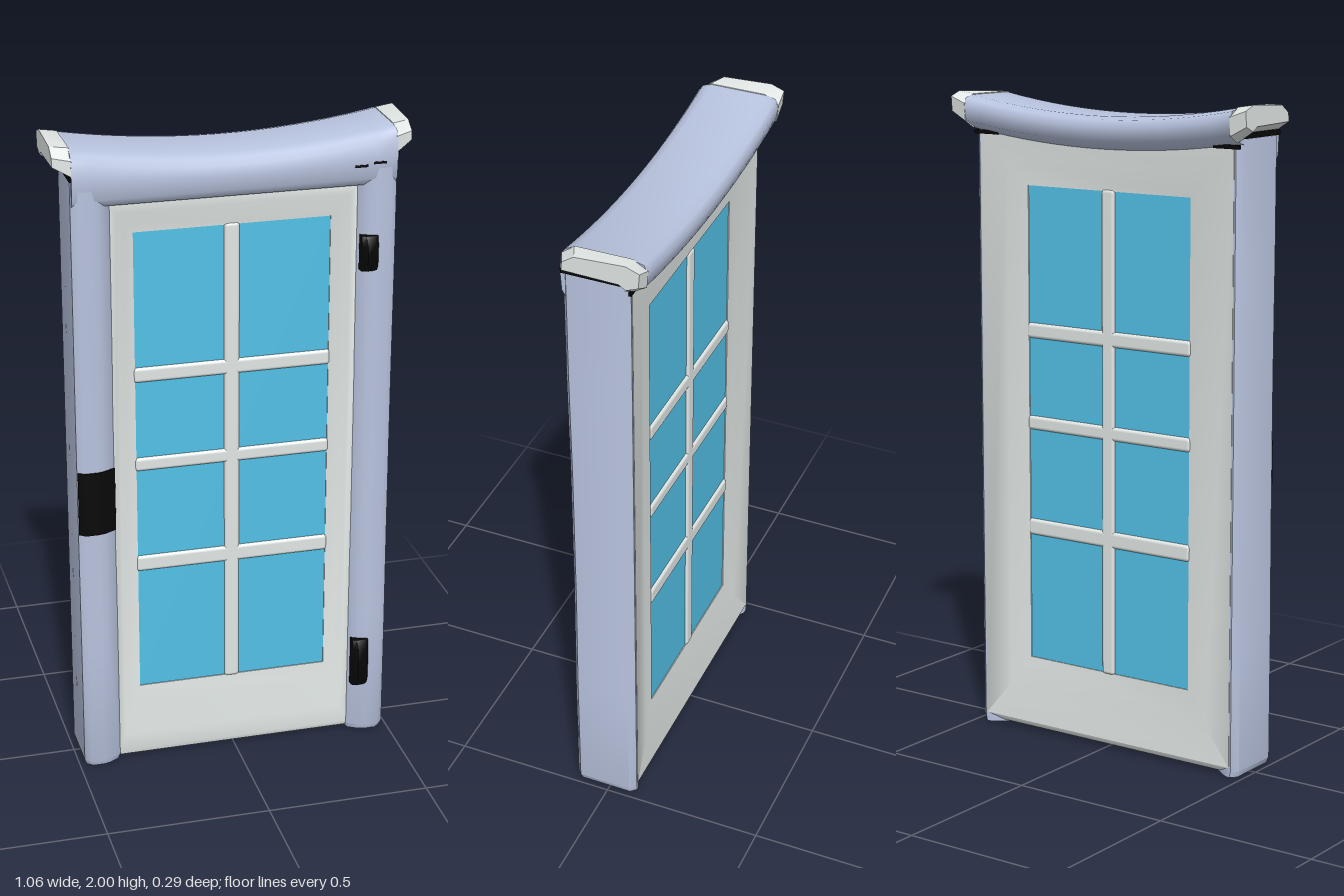
import * as THREE from 'three';
import { RoundedBoxGeometry } from 'three/addons/geometries/RoundedBoxGeometry.js';
import { toCreasedNormals } from 'three/addons/utils/BufferGeometryUtils.js';

const material = (name, color) => {
  const m = new THREE.MeshStandardMaterial({ color });
  m.name = name;
  return m;
};

// Skin a list of equal-length rings of [x, y, z]; faces are turned outward by signed volume.
function loft(rings, caps = true, crease = 0.75) {
  const n = rings[0].length, pos = rings.flat(2), idx = [];
  for (let r = 0; r < rings.length - 1; r++)
    for (let i = 0; i < n; i++) {
      const a = r * n + i, b = r * n + (i + 1) % n;
      idx.push(a, b, b + n, a, b + n, a + n);
    }
  if (caps) [0, rings.length - 1].forEach((r) => {
    const centre = pos.length / 3;
    pos.push(...[0, 1, 2].map((j) => rings[r].reduce((s, p) => s + p[j] / n, 0)));
    for (let i = 0; i < n; i++) {
      const a = r * n + i, b = r * n + (i + 1) % n;
      idx.push(centre, ...(r === 0 ? [b, a] : [a, b]));
    }
  });
  const v = (i) => new THREE.Vector3().fromArray(pos, i * 3);
  let volume = 0;
  for (let i = 0; i < idx.length; i += 3) volume += v(idx[i]).dot(v(idx[i + 1]).cross(v(idx[i + 2])));
  if (volume < 0) idx.reverse();
  const g = new THREE.BufferGeometry();
  g.setAttribute('position', new THREE.Float32BufferAttribute(pos, 3));
  g.setIndex(idx);
  return toCreasedNormals(g, crease);
}

export function createModel() {
  const frame = material('frame lilac', 0xb8c3de);
  const white = material('door white', 0xe1e7e5);
  const glass = material('glass blue', 0x5ad2fc);
  const black = material('iron black', 0x080808);

  const model = new THREE.Group();
  model.name = 'door';
  const add = (name, geometry, mat, x = 0, y = 0, z = 0) => {
    const mesh = new THREE.Mesh(geometry, mat);
    mesh.name = name;
    mesh.position.set(x, y, z);
    model.add(mesh);
  };

  // Door slab: nested rectangles, dished gently in to the window opening on both faces
  const rect = ([w, y0, y1, z]) => [[-w, y0, z], [w, y0, z], [w, y1, z], [-w, y1, z]];
  const slab = [
    [0.297, 0.237, 1.722, 0], [0.297, 0.237, 1.722, 0.063], [0.32, 0.18, 1.75, 0.07],
    [0.35, 0.08, 1.79, 0.082], [0.37, 0.025, 1.82, 0.088], [0.385, 0.008, 1.84, 0.078],
    [0.458, 0.006, 1.89, -0.06], [0.46, 0.03, 1.89, -0.087], [0.37, 0.14, 1.8, -0.077],
    [0.297, 0.237, 1.722, -0.065], [0.297, 0.237, 1.722, 0],
  ];
  add('doorSlab', loft(slab.map(rect), false, 0.9), white);

  // Glass and low glazing bars
  add('glassPane', new THREE.BoxGeometry(0.6, 1.49, 0.122), glass, 0, 0.98, -0.001);
  const bar = (name, w, h, x, y) => add(name, new RoundedBoxGeometry(w, h, 0.138, 3, 0.011), white, x, y, -0.001);
  bar('uprightBar', 0.047, 1.496, -0.002, 0.98);
  [[0.66, 0.052], [0.99, 0.044], [1.278, 0.048]].forEach(([y, h]) => bar('crossBar', 0.604, h, 0, y));

  // Side posts, with a sloped inner edge and a slight hollow along the front
  const postProfile = [
    [0.365, 0.07], [0.37, 0.09], [0.405, 0.109], [0.425, 0.114], [0.465, 0.114],
    [0.485, 0.098], [0.485, -0.068], [0.466, -0.086], [0.45, -0.084], [0.365, -0.03],
  ];
  const postLevels = [[0, 0.95], [0.018, 1], [0.4, 1], [0.75, 0.965], [1.2, 0.965], [1.55, 1], [1.9, 1]];
  for (const side of [-1, 1]) {
    const rings = postLevels.map(([y, s]) => postProfile.map(([x, z]) =>
      [side * (y === 0 ? 0.42 + (x - 0.42) * 0.9 : x), y, z > 0 ? z * s : z]));
    add(side > 0 ? 'leftPost' : 'rightPost', loft(rings, true, 0.85), frame);
  }

  // Sagging lintel: [z, y, how far the point rises toward the ends]
  const lintelProfile = [
    [0.06, 1.81, 0], [0.098, 1.82, 0], [0.112, 1.842, 0], [0.116, 1.885, 0.4], [0.111, 1.915, 1], [0.098, 1.934, 1],
    [0.07, 1.945, 1], [-0.1, 1.946, 1], [-0.132, 1.938, 1], [-0.142, 1.915, 1], [-0.135, 1.875, 0.9],
    [-0.085, 1.848, 0.9], [-0.05, 1.84, 0.9],
  ];
  const lintelRings = [];
  for (let i = 0; i <= 16; i++) {
    const x = -0.482 + (0.964 * i) / 16, rise = 0.044 * (x / 0.482) ** 2;
    lintelRings.push(lintelProfile.map(([z, y, k]) => [x, y + k * rise, z]));
  }
  add('lintel', loft(lintelRings, true, 1.1), frame);

  // Flared lintel ends, and the dark seams around them
  const tipInner = [[0.115, 1.916], [0.111, 1.962], [0.072, 1.991], [-0.1, 1.992], [-0.143, 1.966], [-0.138, 1.912], [-0.1, 1.89], [-0.085, 1.916]];
  const tipOuter = [[0.088, 1.942], [0.086, 1.968], [0.05, 1.992], [-0.1, 2.0], [-0.14, 1.985], [-0.136, 1.94], [-0.1, 1.925], [-0.08, 1.938]];
  for (const side of [-1, 1]) {
    const place = (points, x) => points.map(([z, y]) => [side * x, y, z]);
    add('lintelEnd', loft([place(tipInner, 0.479), place(tipOuter, 0.532)], true, 0.5), white);
    add('sideSeam', new THREE.BoxGeometry(0.012, 0.016, 0.2), black, side * 0.482, 1.909, 0.013);
    add('backSeam', new THREE.BoxGeometry(0.09, 0.012, 0.008), black, side * 0.436, 1.878, -0.089);
  }
  [[0.372, 1.882], [0.428, 1.889]].forEach(([x, y]) => add('frontSeam', new THREE.BoxGeometry(0.04, 0.007, 0.006), black, x, y, 0.114));

  // Latch plate wrapped over the right post
  const latchProfile = [[0.364, 0.075], [0.369, 0.09], [0.405, 0.109], [0.425, 0.114], [0.465, 0.114], [0.484, 0.1], [0.465, 0.08], [0.41, 0.07]];
  add('latchPlate', loft([0.797, 1.0].map((y) => latchProfile.map(([x, z]) => [-x, y, z]))), black);

  // Hinges on the left post: knuckles with tapered ends
  const knuckle = [[-0.026, 0.07], [-0.025, 0.125], [-0.012, 0.142], [0.012, 0.136], [0.026, 0.121], [0.026, 0.08]];
  for (const [y0, y1] of [[1.56, 1.668], [0.17, 0.33]]) {
    const levels = [[y0, 0.4], [y0 + 0.025, 0.9], [(y0 + y1) / 2, 1], [y1 - 0.025, 0.9], [y1, 0.4]];
    add('hinge', loft(levels.map(([y, s]) => knuckle.map(([x, z]) => [0.402 + x, y, 0.108 + (z - 0.108) * s]))), black);
  }

  return model;
}
